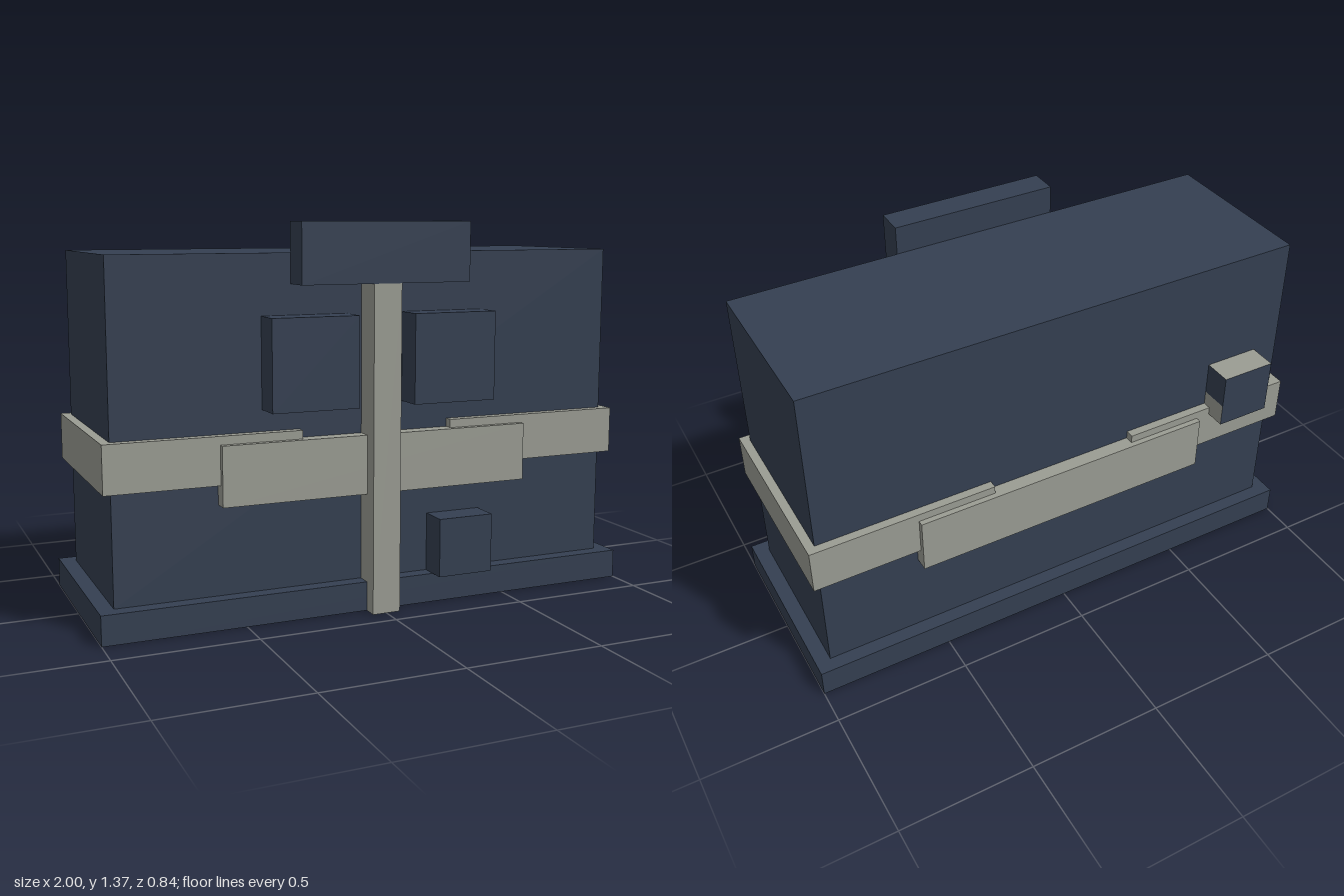
import * as THREE from 'three';

export function createModel() {
  const model = new THREE.Group();
  model.name = 'block';

  const navy = new THREE.MeshStandardMaterial({ color: 0x343f51 });
  navy.name = 'navy';
  const grey = new THREE.MeshStandardMaterial({ color: 0x9a9c93 });
  grey.name = 'warm grey';

  // Box spanning two opposite corners
  function box(name, material, [x0, y0, z0], [x1, y1, z1]) {
    const geometry = new THREE.BoxGeometry(x1 - x0, y1 - y0, z1 - z0);
    const mesh = new THREE.Mesh(geometry, material);
    mesh.position.set((x0 + x1) / 2, (y0 + y1) / 2, (z0 + z1) / 2);
    mesh.name = name;
    model.add(mesh);
    return mesh;
  }

  const face = 0.315; // front and back planes of the body
  const relief = 0.421; // outermost depth of the raised parts

  // Body on its base
  box('base', navy, [-1, 0, -0.368], [1, 0.105, 0.368]);
  box('body', navy, [-0.945, 0.105, -face], [0.945, 1.265, face]);

  // Raised front parts
  box('topPlaque', navy, [-0.315, 1.16, face], [0.315, 1.37, relief]);
  box('centerStrip', grey, [-0.052, 0, face], [0.052, 1.16, relief]);
  box('rightPanel', navy, [-0.421, 0.738, face], [-0.105, 1.055, relief]);
  box('leftPanel', navy, [0.105, 0.738, face], [0.421, 1.055, relief]);
  box('lowerBlock', navy, [0.21, 0.105, face], [0.421, 0.318, relief]);

  // Middle belt plates, front and back
  box('frontBeltPlate', grey, [-0.58, 0.423, face], [0.58, 0.633, 0.368]);
  box('backBeltPlate', grey, [-0.58, 0.423, -0.368], [0.58, 0.633, -face]);

  // Belt wrapping each end of the body
  const wrap = new THREE.Shape([
    [0.285, -0.347], [0.977, -0.347], [0.977, 0.347], [0.285, 0.347],
    [0.285, face], [0.945, face], [0.945, -face], [0.285, -face],
  ].map(([x, y]) => new THREE.Vector2(x, y)));
  const wrapGeometry = new THREE.ExtrudeGeometry(wrap, { depth: 0.168, bevelEnabled: false });
  wrapGeometry.rotateX(-Math.PI / 2);
  for (const [name, turn] of [['leftBelt', 0], ['rightBelt', Math.PI]]) {
    const belt = new THREE.Mesh(wrapGeometry, grey);
    belt.name = name;
    belt.position.y = 0.495;
    belt.rotation.y = turn;
    model.add(belt);
  }

  // Two-coloured knob on the back; face order +x, -x, +y, -y, +z, -z
  box('knobLower', [grey, grey, grey, navy, navy, navy],
    [-0.843, 0.633, -relief], [-0.635, 0.718, -face]);
  box('knobUpper', [navy, grey, grey, navy, navy, navy],
    [-0.843, 0.718, -relief], [-0.635, 0.842, -face]);

  return model;
}
